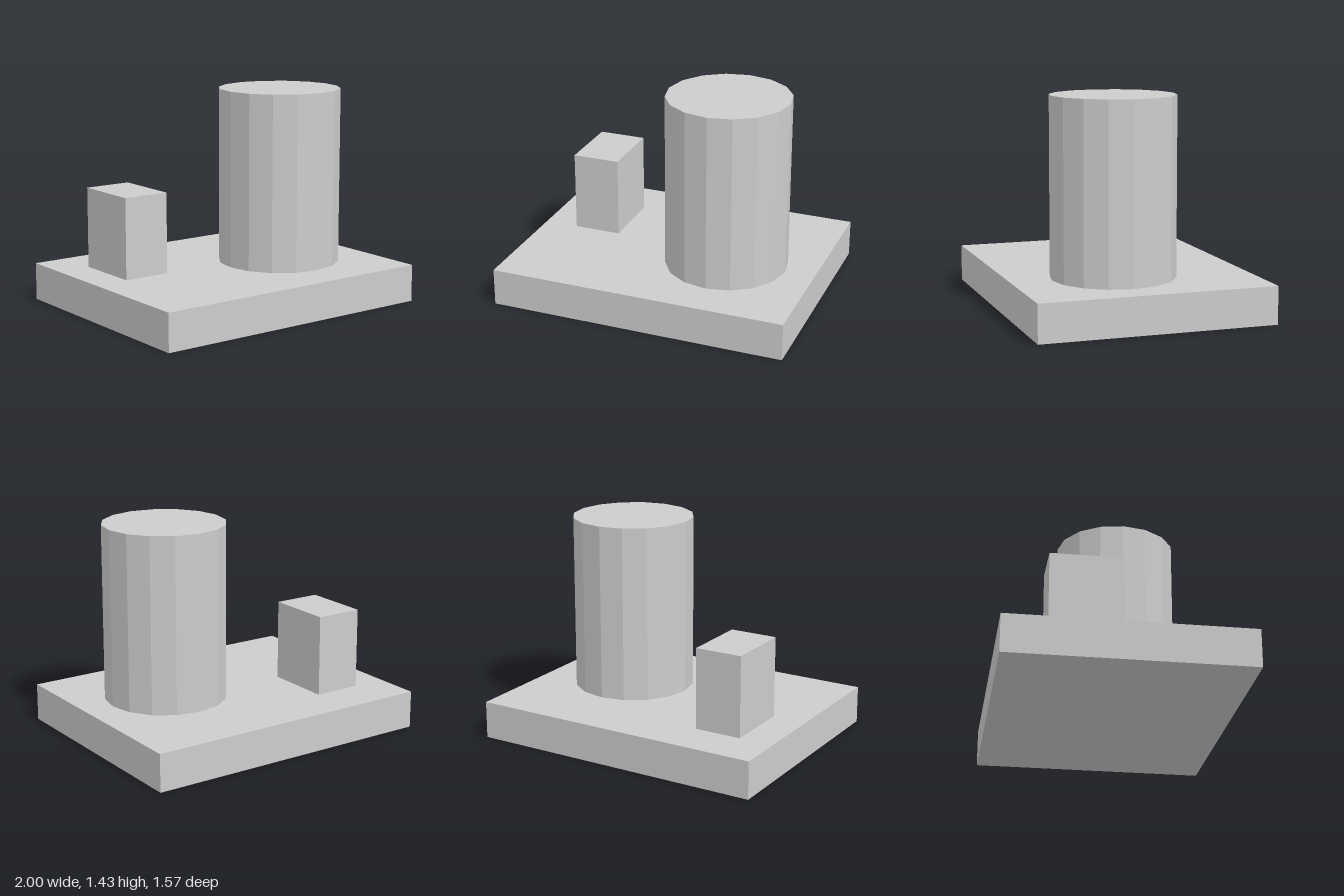
import * as THREE from 'three';

export function createModel() {
  const model = new THREE.Group();
  const grey = new THREE.MeshStandardMaterial({ color: 0xcccccc });
  grey.name = 'light grey';
  grey.flatShading = true;

  const add = (name, geometry, x, y, z) => {
    const mesh = new THREE.Mesh(geometry, grey);
    mesh.name = name;
    mesh.position.set(x, y, z);
    model.add(mesh);
  };

  // Flat slab that everything stands on
  add('basePlate', new THREE.BoxGeometry(2, 0.25, 1.57), 0, 0.125, 0);

  // Tall sixteen-sided column
  add('column', new THREE.CylinderGeometry(0.41, 0.41, 1.18, 16), 0.39, 0.84, 0.105);

  // Small upright block
  add('block', new THREE.BoxGeometry(0.32, 0.54, 0.46), -0.61, 0.52, -0.25);

  return model;
}
